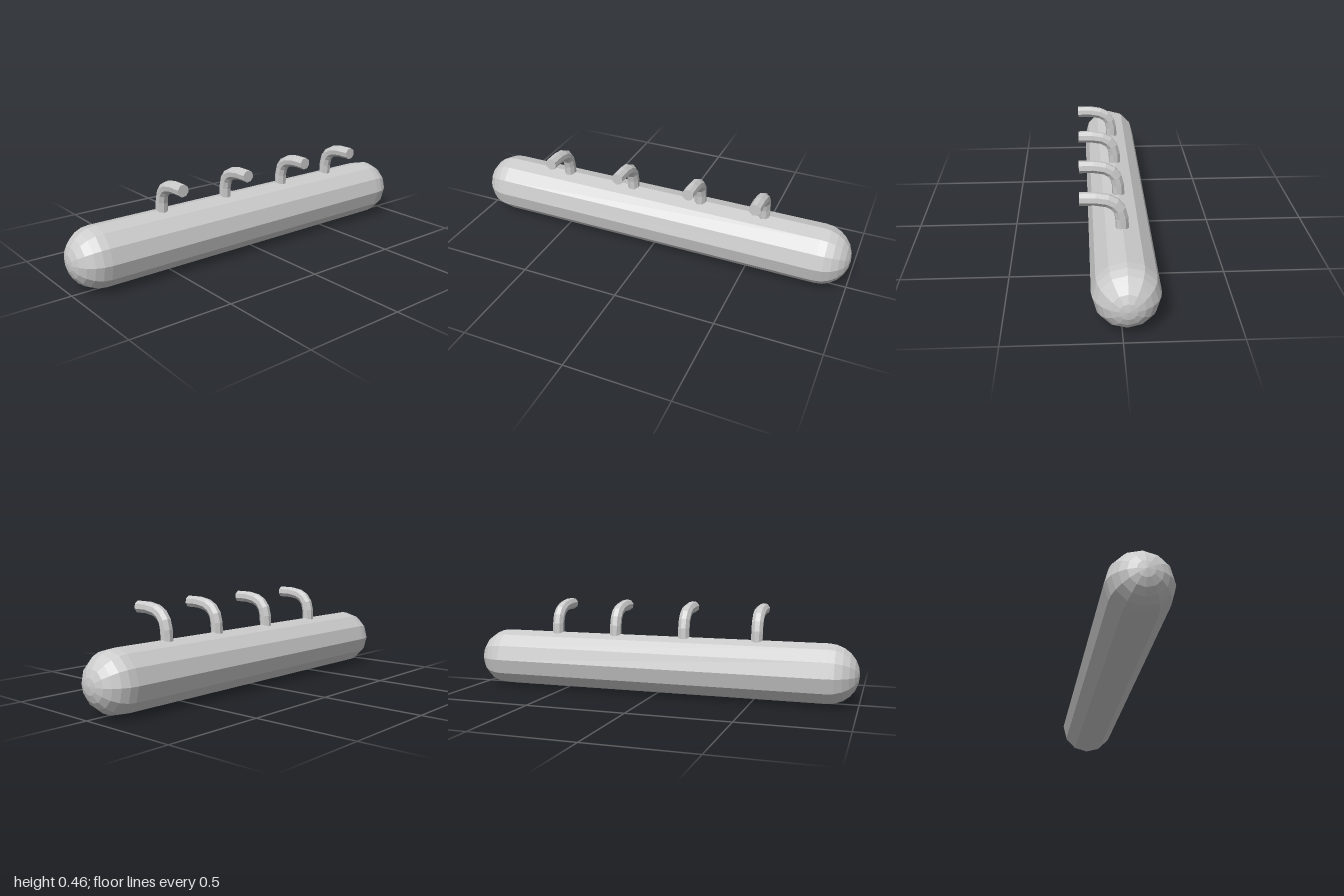
import * as THREE from 'three';

const material = new THREE.MeshStandardMaterial({ color: 0xcccccc, flatShading: true });

// Bent eight-sided rod: rings swept along a path of [z, y] points, closed at the tip
function bentRod(path, radius, sides, twist) {
  const pos = [], index = [];
  path.forEach(([z, y], i) => {
    const a = path[Math.max(i - 1, 0)], b = path[Math.min(i + 1, path.length - 1)];
    const len = Math.hypot(b[0] - a[0], b[1] - a[1]);
    const tz = (b[0] - a[0]) / len, ty = (b[1] - a[1]) / len;
    for (let j = 0; j < sides; j++) {
      const t = twist + (j / sides) * Math.PI * 2;
      const c = Math.cos(t) * radius;
      pos.push(Math.sin(t) * radius, y + c * tz, z - c * ty);
      if (i < path.length - 1) {
        const p = i * sides + j, q = i * sides + (j + 1) % sides;
        index.push(p, p + sides, q, q, p + sides, q + sides);
      }
    }
  });
  // Flat end cap
  const last = (path.length - 1) * sides;
  for (let j = 1; j < sides - 1; j++) index.push(last, last + j + 1, last + j);
  const geo = new THREE.BufferGeometry();
  geo.setAttribute('position', new THREE.Float32BufferAttribute(pos, 3));
  geo.setIndex(index);
  geo.computeVertexNormals();
  return geo;
}

export function createModel() {
  const model = new THREE.Group();
  model.name = 'barWithHooks';

  // Long horizontal bar with rounded ends
  const r = 0.147;
  const barGeo = new THREE.CapsuleGeometry(r, 2 - 2 * r, 6, 12);
  barGeo.rotateZ(Math.PI / 2);
  const bar = new THREE.Mesh(barGeo, material);
  bar.name = 'bar';
  bar.position.set(0, r, -0.02);
  model.add(bar);

  // Four hooks rising from the bar and bending forward
  const path = [
    [-0.019, 0.2], [-0.019, 0.29], [-0.017, 0.336], [-0.007, 0.376],
    [0.015, 0.404], [0.047, 0.421], [0.1, 0.43], [0.168, 0.43],
  ];
  const hookGeo = bentRod(path, 0.03, 8, THREE.MathUtils.degToRad(14));
  [-0.508, -0.136, 0.233, 0.561].forEach((x, i) => {
    const hook = new THREE.Mesh(hookGeo, material);
    hook.name = 'hook' + (i + 1);
    hook.position.x = x;
    model.add(hook);
  });
  return model;
}
